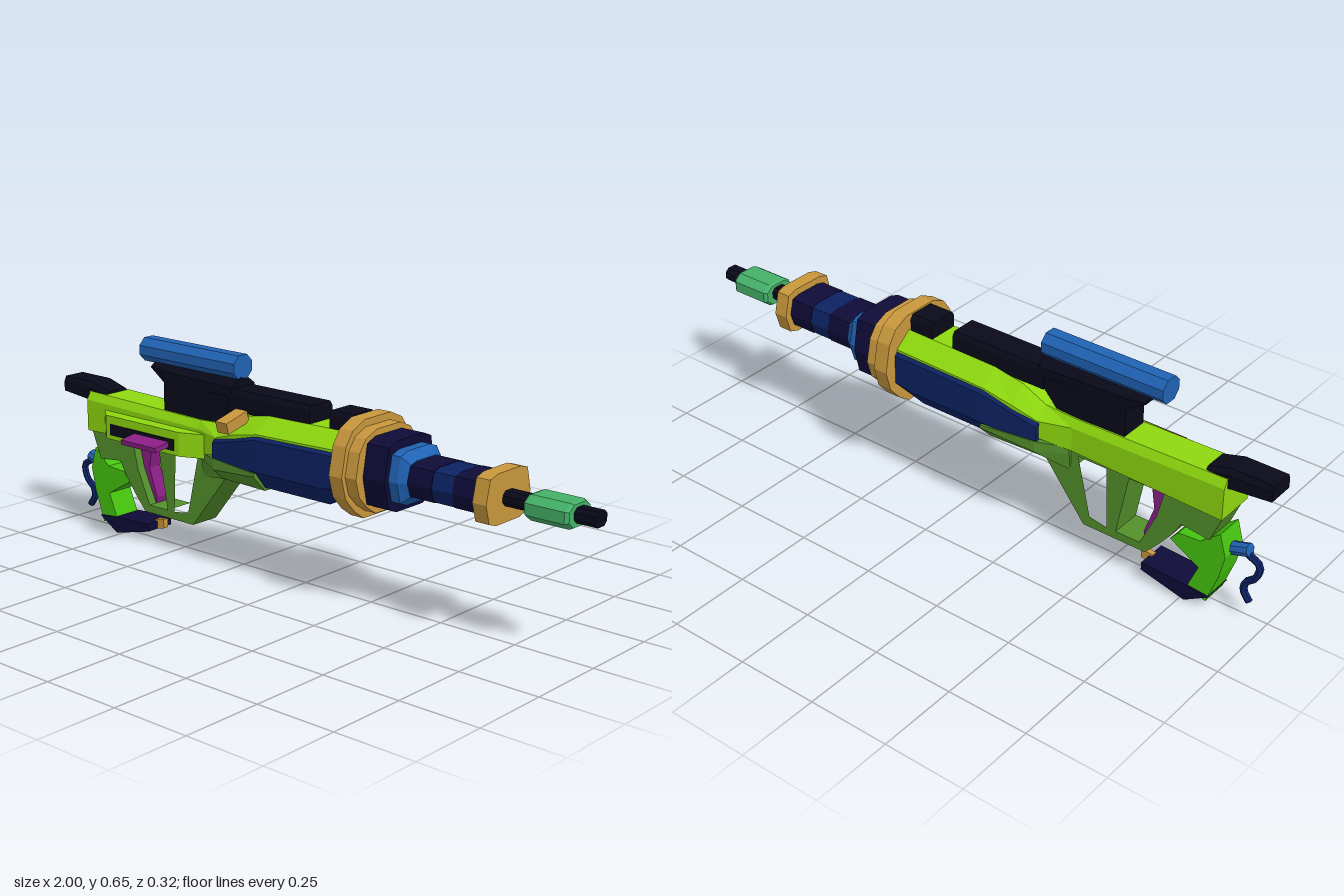
import * as THREE from 'three';

const mat = (name, color) => Object.assign(new THREE.MeshStandardMaterial({ color, flatShading: true }), { name });
const M = {
  lime: mat('lime', 0x8ed80f), olive: mat('leaf green', 0x53902b), green: mat('bright green', 0x45c40f),
  navy: mat('navy', 0x0c2263), indigo: mat('indigo', 0x0e0b38), black: mat('near black', 0x090919),
  blue: mat('blue', 0x2062b4), gold: mat('gold', 0xc8973c), mint: mat('mint', 0x44b068), magenta: mat('magenta', 0x8a1f86),
};

// Skin along x through mirrored outlines; each section is [x, half outline [z, y] from top to bottom]
function loft(sections) {
  const rings = sections.map(([x, half]) => [
    ...half.map(([z, y]) => [x, y, z]),
    ...half.slice().reverse().map(([z, y]) => [x, y, -z]),
  ]);
  const pos = [];
  const tri = (a, b, c) => pos.push(...a, ...b, ...c);
  const n = rings[0].length;
  for (let s = 0; s < rings.length - 1; s++) {
    const a = rings[s], b = rings[s + 1];
    for (let i = 0; i < n; i++) {
      const j = (i + 1) % n;
      tri(a[i], a[j], b[j]);
      tri(a[i], b[j], b[i]);
    }
  }
  const first = rings[0], last = rings[rings.length - 1];
  for (let i = 1; i < n - 1; i++) {
    tri(last[0], last[i], last[i + 1]);
    tri(first[0], first[i + 1], first[i]);
  }
  const g = new THREE.BufferGeometry();
  g.setAttribute('position', new THREE.Float32BufferAttribute(pos, 3));
  g.computeVertexNormals();
  return g;
}

// Flat side outline (x, y) extruded evenly about z = 0
function plate(points, width, holes = []) {
  const toV = (p) => p.map(([x, y]) => new THREE.Vector2(x, y));
  const shape = new THREE.Shape(toV(points));
  holes.forEach((h) => shape.holes.push(new THREE.Path(toV(h))));
  return new THREE.ExtrudeGeometry(shape, { depth: width, bevelEnabled: false }).translate(0, 0, -width / 2);
}

export function createModel() {
  const root = new THREE.Group();
  root.name = 'toyBlaster';
  const body = new THREE.Group();
  body.name = 'body';
  body.position.z = -0.004;
  root.add(body);
  const add = (name, geo, material) => {
    const m = new THREE.Mesh(geo, material);
    m.name = name;
    body.add(m);
    return m;
  };
  const prism = (name, x0, x1, half, material) => add(name, loft([[x0, half], [x1, half]]), material);

  // Upper shell, widening into the fore-end cover
  const shell = (x, yt, w, ym, yb) => [x, [[0.05, yt], [w, ym], [w, yb]]];
  add('upperShell', loft([
    shell(-0.87, 0.455, 0.064, 0.43, 0.33), shell(-0.38, 0.445, 0.064, 0.42, 0.345),
    shell(-0.28, 0.45, 0.09, 0.415, 0.36), shell(-0.2, 0.487, 0.1, 0.44, 0.40),
    shell(-0.1, 0.505, 0.105, 0.46, 0.42), shell(0.22, 0.51, 0.105, 0.468, 0.42),
  ]), M.lime);

  // Navy fore-end
  const fore = (x, yt, w, y1, y2, wb, yb) => [x, [[w - 0.02, yt], [w, y1], [w, y2], [wb, yb]]];
  add('foreEnd', loft([
    fore(-0.285, 0.42, 0.1, 0.40, 0.34, 0.06, 0.31), fore(-0.1, 0.463, 0.115, 0.445, 0.35, 0.07, 0.293),
    fore(0.15, 0.468, 0.115, 0.45, 0.35, 0.07, 0.293), fore(0.22, 0.47, 0.115, 0.45, 0.36, 0.07, 0.33),
  ]), M.navy);

  // Lower frame with two openings, and the shroud under the fore-end
  add('gripFrame', plate(
    [[-0.87, 0.34], [-0.29, 0.355], [-0.28, 0.28], [-0.32, 0.23], [-0.42, 0.105], [-0.63, 0.105],
      [-0.67, 0.15], [-0.71, 0.2], [-0.74, 0.25], [-0.83, 0.24]], 0.1,
    [[[-0.68, 0.325], [-0.66, 0.24], [-0.61, 0.13], [-0.53, 0.13], [-0.565, 0.325]],
      [[-0.49, 0.325], [-0.395, 0.325], [-0.44, 0.14], [-0.5, 0.13]]]), M.olive);
  add('frameShroud', loft([
    [-0.37, [[0.06, 0.35], [0.06, 0.33], [0.05, 0.27]]], [-0.28, [[0.103, 0.355], [0.103, 0.32], [0.06, 0.283]]],
    [-0.1, [[0.119, 0.345], [0.119, 0.335], [0.07, 0.283]]],
  ]), M.olive);
  add('trigger', plate([[-0.68, 0.33], [-0.62, 0.33], [-0.635, 0.24], [-0.605, 0.15], [-0.61, 0.13], [-0.66, 0.2], [-0.675, 0.26]], 0.045), M.magenta);

  // Side housing with slot and pull handle on the model's front side
  const housing = plate([[-0.8, 0.055], [-0.3, 0.055], [-0.42, 0.105], [-0.74, 0.105]], 0.075);
  add('sideHousing', housing.rotateX(Math.PI / 2).translate(0, 0.372, 0), M.lime);
  add('sideSlot', new THREE.BoxGeometry(0.28, 0.035, 0.006).translate(-0.58, 0.366, 0.105), M.black);
  const handle = add('pullHandle', new THREE.BoxGeometry(0.15, 0.016, 0.065), M.magenta);
  handle.position.set(-0.535, 0.362, 0.132);
  handle.rotation.x = 0.15;

  // Rear cap
  add('rearCap', loft([
    [-1, [[0.035, 0.482], [0.043, 0.465], [0.043, 0.435]]], [-0.87, [[0.035, 0.482], [0.048, 0.465], [0.048, 0.425]]],
    [-0.8, [[0.035, 0.462], [0.048, 0.45], [0.048, 0.42]]],
  ]), M.black);

  // Rear grip, foot, plug and cable
  add('rearGrip', plate([[-0.86, 0.27], [-0.8, 0.22], [-0.73, 0.215], [-0.705, 0.185], [-0.80, 0.13],
    [-0.765, 0.045], [-0.83, 0.03], [-0.865, 0.13], [-0.88, 0.2]].reverse(), 0.09), M.green);
  add('gripFoot', plate([[-0.84, 0.05], [-0.765, 0.005], [-0.62, 0.04], [-0.62, 0.065], [-0.76, 0.058]], 0.1), M.indigo);
  add('footTip', plate([[-0.625, 0.04], [-0.592, 0.047], [-0.592, 0.076], [-0.63, 0.07]], 0.018), M.gold);
  const plug = add('plug', new THREE.CylinderGeometry(0.02, 0.02, 0.06, 8), M.blue);
  plug.rotation.z = Math.PI / 2 - 0.3;
  plug.position.set(-0.9, 0.215, 0);
  const cable = new THREE.CatmullRomCurve3([[-0.92, 0.21], [-0.962, 0.185], [-0.952, 0.14], [-0.925, 0.115], [-0.92, 0.085], [-0.94, 0.055]]
    .map(([x, y]) => new THREE.Vector3(x, y, 0)));
  add('cable', new THREE.TubeGeometry(cable, 14, 0.011, 6), M.navy);

  // Scope, its mount and the top rail
  prism('scopeTube', -0.65, -0.25, [[0.018, 0.655], [0.039, 0.633], [0.039, 0.604], [0.018, 0.582]], M.blue);
  add('scopeMount', loft([
    [-0.6, [[0.015, 0.59], [0.04, 0.575], [0.04, 0.572]]], [-0.54, [[0.015, 0.59], [0.045, 0.57], [0.045, 0.535]]],
    [-0.25, [[0.015, 0.59], [0.05, 0.563], [0.05, 0.535]]],
  ]), M.black);
  add('mountBlock', plate([[-0.54, 0.55], [-0.54, 0.44], [-0.32, 0.44], [-0.26, 0.505], [-0.26, 0.55]], 0.09), M.black);
  for (const [x0, x1] of [[-0.27, 0.055], [0.13, 0.21]])
    prism('topRail', x0, x1, [[0.04, 0.56], [0.05, 0.545], [0.05, 0.495]], M.black);

  // Side clip
  const clip = add('sideClip', new THREE.BoxGeometry(0.045, 0.035, 0.09), M.gold);
  clip.position.set(-0.195, 0.483, 0.106);
  clip.rotation.x = 0.25;

  // Barrel assembly: faceted outlines scaled about the barrel axis
  const axis = 0.415;
  const ringOutline = [[0.058, 0.144], [0.108, 0.121], [0.137, 0.08], [0.155, -0.005], [0.137, -0.07], [0.1, -0.112], [0.058, -0.142]];
  const sleeveOutline = [[0.058, 0.104], [0.093, 0.09], [0.111, -0.005], [0.093, -0.085], [0.058, -0.1]];
  const scaled = (o, sz, sy = sz) => o.map(([z, y]) => [z * sz, axis + y * sy]);
  prism('collarRear', 0.217, 0.264, scaled(ringOutline, 1), M.gold);
  prism('collarFront', 0.264, 0.303, scaled(ringOutline, 0.91, 0.85), M.gold);
  prism('sleeve', 0.303, 0.38, scaled(sleeveOutline, 1), M.indigo);
  add('taper', loft([
    [0.38, scaled(sleeveOutline, 0.86, 0.76)], [0.41, scaled(sleeveOutline, 0.86, 0.76)],
    [0.435, scaled(sleeveOutline, 0.72, 0.52)],
  ]), M.blue);
  prism('barrelRear', 0.43, 0.515, scaled(sleeveOutline, 0.73, 0.5), M.indigo);
  prism('barrelMiddle', 0.515, 0.585, scaled(sleeveOutline, 0.71, 0.49), M.navy);
  prism('barrelFront', 0.585, 0.67, scaled(sleeveOutline, 0.73, 0.5), M.indigo);
  prism('muzzleRing', 0.667, 0.712, scaled(sleeveOutline, 0.91, 0.7), M.gold);
  const rod = [[0.015, 0.019], [0.027, 0.008], [0.027, -0.012], [0.015, -0.024]];
  prism('muzzleRod', 0.7, 1, scaled(rod, 1), M.black);
  add('muzzleTip', loft([
    [0.795, scaled(rod, 1.8, 1.45)], [0.805, scaled(rod, 2.1, 1.65)],
    [0.925, scaled(rod, 2.1, 1.65)], [0.935, scaled(rod, 1.8, 1.45)],
  ]), M.mint);

  return root;
}
